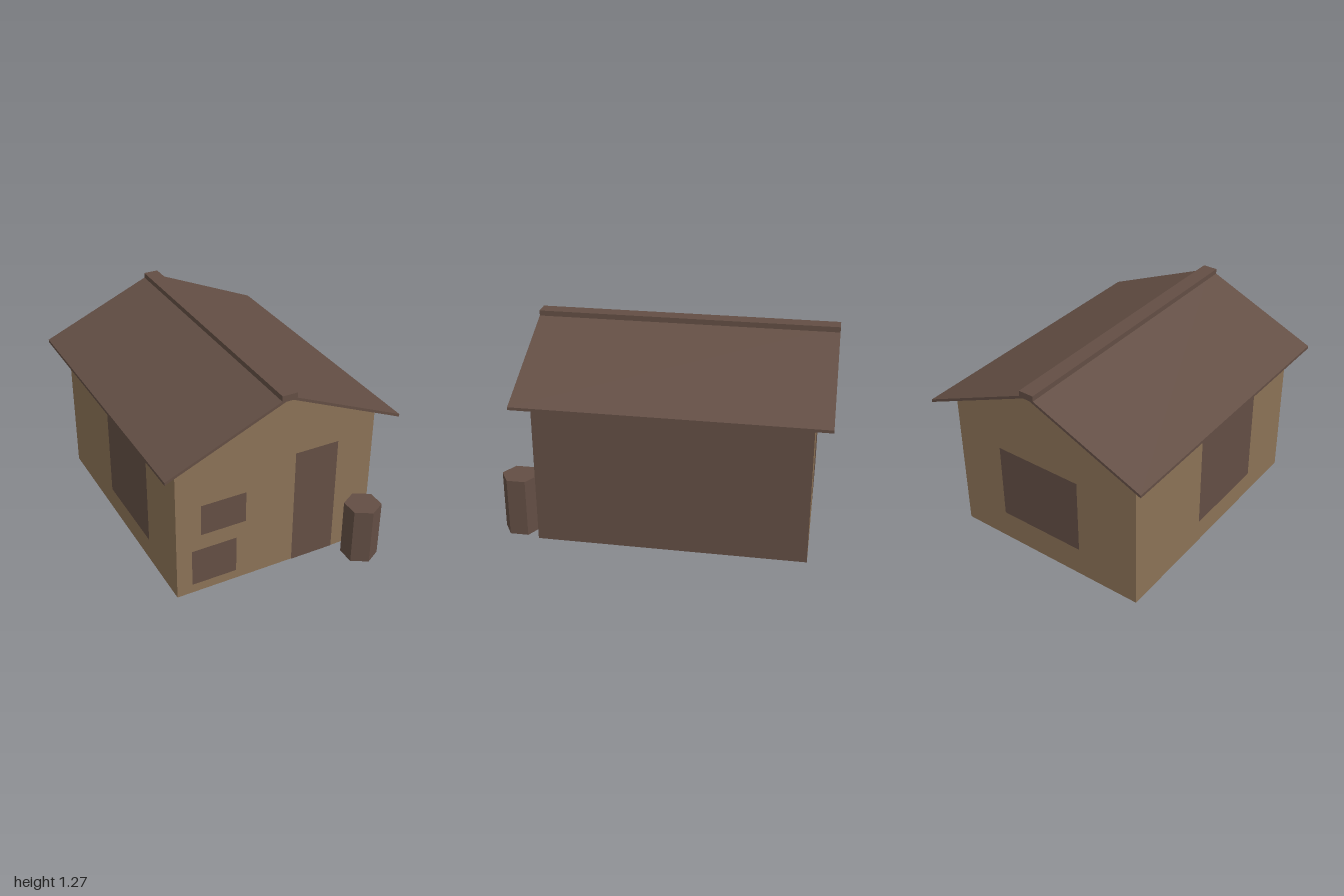
import * as THREE from 'three';

export function createModel() {
  const group = new THREE.Group();
  const tan = new THREE.MeshStandardMaterial({ color: 0x8b7256, side: THREE.DoubleSide });
  tan.name = 'tan wall';
  const brown = new THREE.MeshStandardMaterial({ color: 0x634e44, side: THREE.DoubleSide, flatShading: true });
  brown.name = 'brown wood';

  const add = (name, geometry, material, x = 0, y = 0, z = 0, turn = 0) => {
    const mesh = new THREE.Mesh(geometry, material);
    mesh.name = name;
    mesh.position.set(x, y, z);
    mesh.rotation.y = turn;
    group.add(mesh);
    return mesh;
  };
  const shape = (points) => new THREE.Shape(points.map(([x, y]) => new THREE.Vector2(x, y)));

  // Main measures
  const halfWidth = 0.658, front = 0.754, back = -0.896;
  const eaveX = 0.762, eaveY = 0.912, slope = 0.43, ridgeY = 1.23;
  const ridgeX = eaveX - (ridgeY - eaveY) / slope;
  const wallTop = eaveY + slope * (eaveX - halfWidth);

  // Gable walls, open underneath
  const gable = new THREE.ShapeGeometry(shape([
    [-halfWidth, 0], [halfWidth, 0], [halfWidth, wallTop],
    [ridgeX, ridgeY], [-ridgeX, ridgeY], [-halfWidth, wallTop],
  ]));
  add('frontWall', gable, tan, 0, 0, front);
  add('backWall', gable, tan, 0, 0, back, Math.PI);

  // Side walls: one wooden, one plain
  const side = new THREE.PlaneGeometry(front - back, wallTop);
  const midZ = (front + back) / 2;
  add('leftWall', side, brown, halfWidth, wallTop / 2, midZ, Math.PI / 2);
  add('rightWall', side, tan, -halfWidth, wallTop / 2, midZ, -Math.PI / 2);

  // Thin roof in one folded sheet, with its ridge cap
  const roofBack = -1, roofLength = 1.856, t = 0.018;
  const roof = new THREE.ExtrudeGeometry(shape([
    [-eaveX, eaveY], [-ridgeX, ridgeY], [ridgeX, ridgeY], [eaveX, eaveY],
    [eaveX, eaveY + t], [0, eaveY + t + slope * eaveX], [-eaveX, eaveY + t],
  ]), { depth: roofLength, bevelEnabled: false });
  add('roof', roof, brown, 0, 0, roofBack);
  add('ridgeCap', new THREE.BoxGeometry(0.096, 0.037, roofLength), brown,
    0, 1.2515, roofBack + roofLength / 2);

  // Door and windows as flat panels just off the walls
  const gap = 0.003;
  const panel = (name, u0, u1, y0, y1, place) => {
    const [x, z, turn] = place((u0 + u1) / 2);
    add(name, new THREE.PlaneGeometry(u1 - u0, y1 - y0), brown, x, (y0 + y1) / 2, z, turn);
  };
  const onFront = (x) => [x, front + gap, 0];
  const onBack = (x) => [x, back - gap, Math.PI];
  const onRight = (z) => [-halfWidth - gap, z, -Math.PI / 2];
  panel('door', 0.12, 0.41, 0, 0.788, onFront);
  panel('upperFrontWindow', -0.499, -0.206, 0.413, 0.62, onFront);
  panel('lowerFrontWindow', -0.56, -0.267, 0.062, 0.31, onFront);
  panel('backWindow', -0.243, 0.338, 0.195, 0.695, onBack);
  panel('sideWindow', -0.234, 0.361, 0.155, 0.78, onRight);

  // Six-sided barrel beside the door
  add('barrel', new THREE.CylinderGeometry(0.114, 0.114, 0.373, 6), brown, 0.535, 0.1865, 0.886);

  return group;
}
